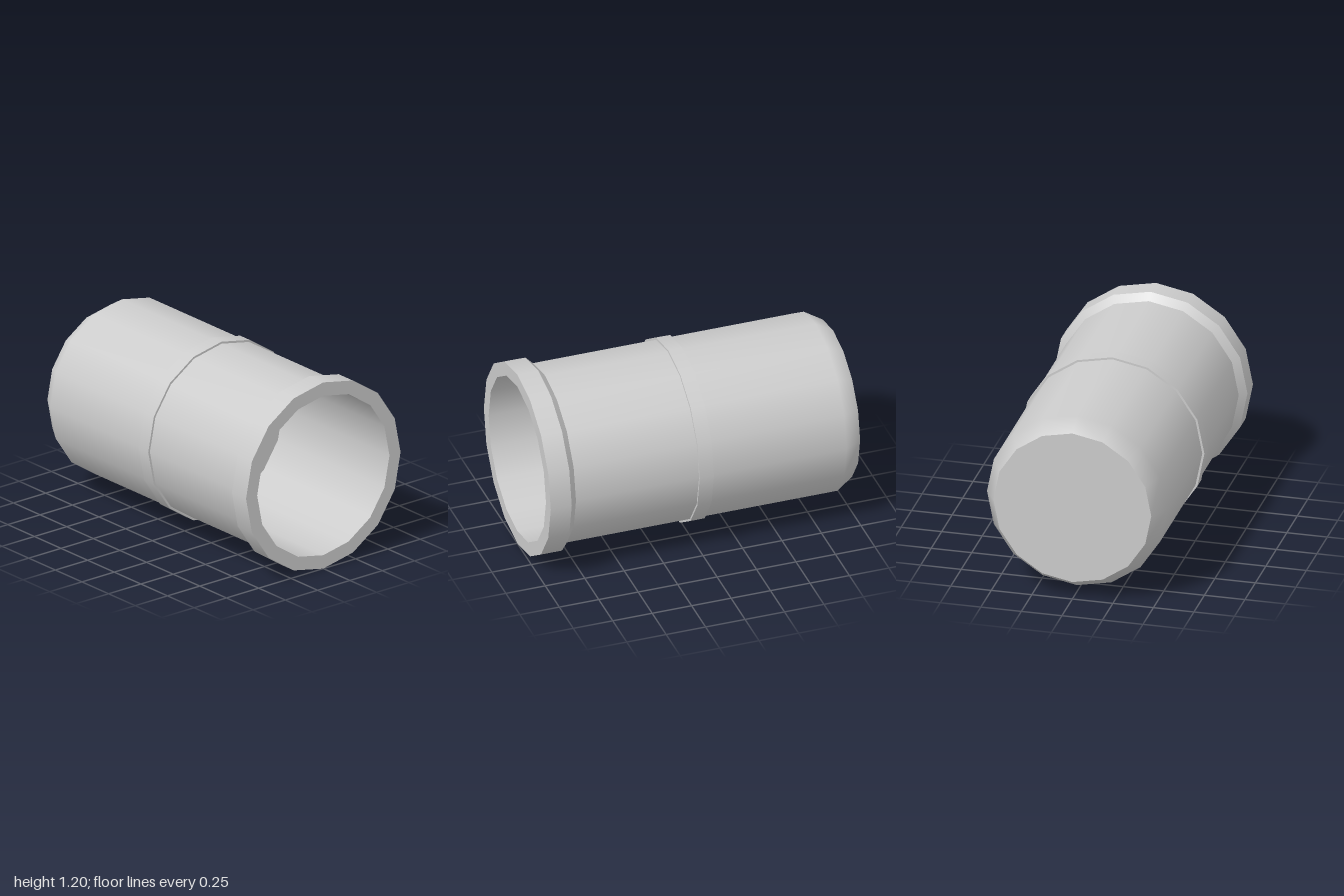
import * as THREE from 'three';

const SIDES = 16;
const AXIS_HEIGHT = 0.6;

export function createModel() {
  const model = new THREE.Group();
  const grey = new THREE.MeshStandardMaterial({ color: 0xcccccc });
  grey.name = 'light grey';

  // Each smooth band is turned from [radius, z] points; separate bands keep sharp edges.
  function turned(parent, name, points) {
    const profile = points.map(([r, z]) => new THREE.Vector2(r, z));
    const geometry = new THREE.LatheGeometry(profile, SIDES);
    geometry.rotateX(Math.PI / 2);
    const mesh = new THREE.Mesh(geometry, grey);
    mesh.name = name;
    parent.add(mesh);
  }

  function part(name) {
    const group = new THREE.Group();
    group.name = name;
    group.position.y = AXIS_HEIGHT;
    model.add(group);
    return group;
  }

  // Closed tube with a tapered back end
  const body = part('body');
  turned(body, 'backCap', [[0, -1], [0.487, -1]]);
  turned(body, 'tubeWall', [[0.487, -1], [0.555, -0.89], [0.555, 0.825]]);

  // Thicker collar around the open front
  const collar = part('collar');
  turned(collar, 'collarChamfer', [[0.555, 0.825], [0.598, 0.867]]);
  turned(collar, 'collarWall', [[0.598, 0.867], [0.598, 1]]);
  turned(collar, 'frontRim', [[0.598, 1], [0.512, 1]]);

  // Bore reaching to the middle of the tube
  const bore = part('bore');
  turned(bore, 'boreWall', [[0.512, 1], [0.512, 0]]);
  turned(bore, 'boreFloor', [[0.512, 0], [0, 0]]);

  // Thin raised band halfway along
  const band = part('middleBand');
  turned(band, 'bandBack', [[0.54, -0.045], [0.568, -0.045]]);
  turned(band, 'bandWall', [[0.568, -0.045], [0.568, 0.045]]);
  turned(band, 'bandFront', [[0.568, 0.045], [0.54, 0.045]]);

  return model;
}
